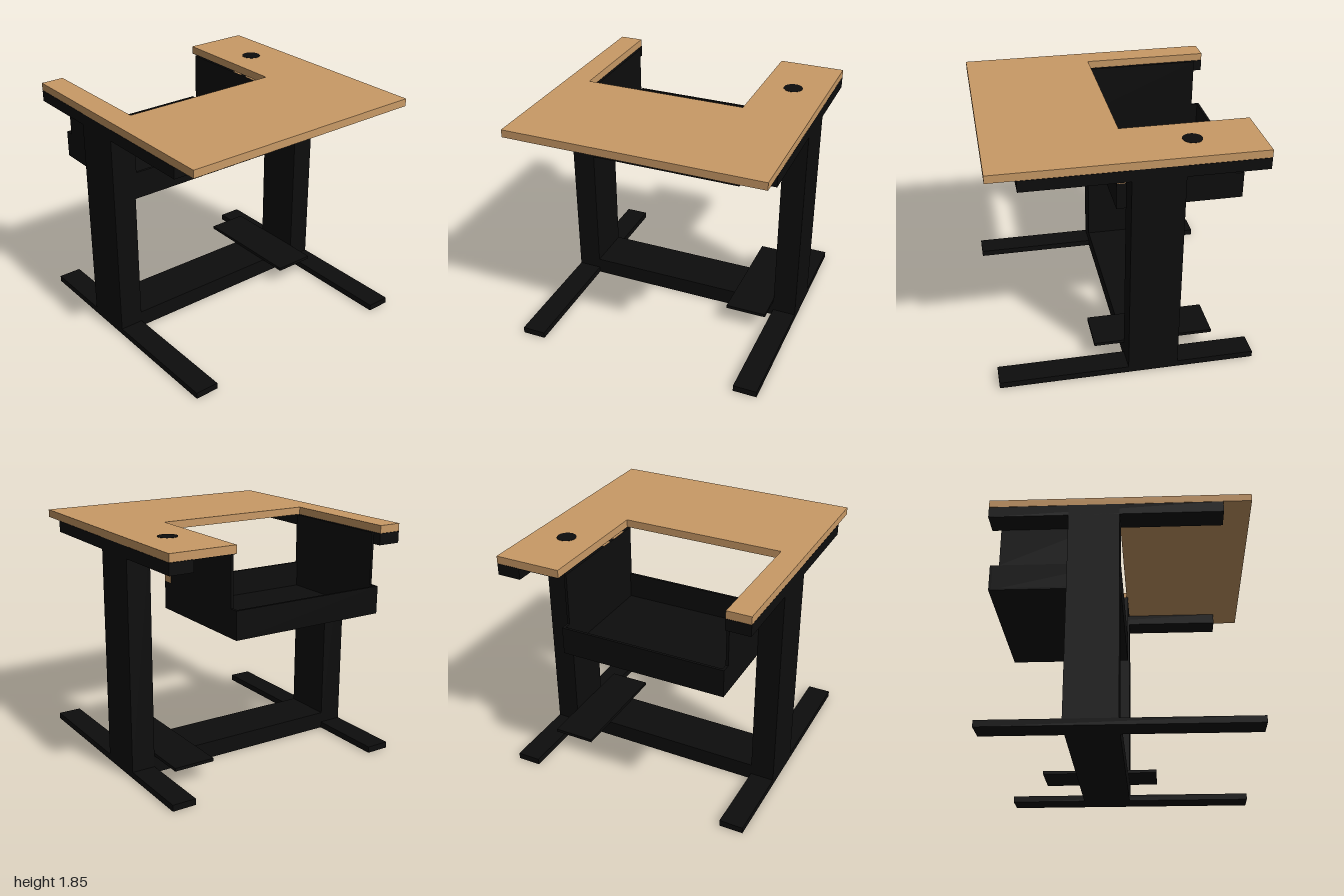
import * as THREE from 'three';

export function createModel() {
  const model = new THREE.Group();
  model.name = 'desk';
  const wood = new THREE.MeshStandardMaterial({ color: 0xc99a66 });
  wood.name = 'warm wood';
  const black = new THREE.MeshStandardMaterial({ color: 0x0d0d0d });
  black.name = 'black metal';

  const add = (name, geometry, material) => {
    const mesh = new THREE.Mesh(geometry, material);
    mesh.name = name;
    model.add(mesh);
    return mesh;
  };
  // Box given by its extents on each axis
  const box = (name, material, [x0, x1], [y0, y1], [z0, z1]) =>
    add(name, new THREE.BoxGeometry(x1 - x0, y1 - y0, z1 - z0), material)
      .position.set((x0 + x1) / 2, (y0 + y1) / 2, (z0 + z1) / 2);

  // U-shaped top, drawn in (x, -z), open at the back, with a round cable hole
  const outline = [[-1, -1], [1, -1], [1, 1], [0.476, 1], [0.476, 0.01], [-0.815, 0.01], [-0.815, 1], [-1, 1]];
  const shape = new THREE.Shape(outline.map(([x, y]) => new THREE.Vector2(x, y)));
  const hole = new THREE.Path();
  hole.absarc(0.725, 0.495, 0.075, 0, Math.PI * 2, true);
  shape.holes.push(hole);
  const top = new THREE.ExtrudeGeometry(shape, { depth: 0.06, bevelEnabled: false, curveSegments: 24 });
  top.rotateX(-Math.PI / 2).translate(0, 1.79, 0);
  add('tableTop', top, wood);
  add('cableGrommet', new THREE.CylinderGeometry(0.075, 0.075, 0.068, 32), black)
    .position.set(0.725, 1.818, -0.495);
  box('armUnderPlate', black, [0.476, 0.82], [1.786, 1.79], [-1, 0]);

  // Legs: foot, column and top rail on each side
  for (const side of [-1, 1]) {
    const span = side > 0 ? [0.812, 1] : [-1, -0.812];
    const label = side > 0 ? 'left' : 'right';
    box(label + 'Foot', black, span, [0, 0.05], [-1, 1]);
    box(label + 'Column', black, span, [0.05, 1.79], [-0.39, 0]);
    box(label + 'Rail', black, span, [1.7, 1.788], [-1, 0.785]);
  }
  box('crossBeam', black, [-0.812, 0.812], [0, 0.135], [-0.39, 0]);
  box('footPlate', black, [0.48, 0.812], [0.14, 0.165], [-0.71, 0.235]);

  // Hanging open tray with tall side panels
  const tray = [-0.815, 0.475];
  box('trayFloor', black, tray, [1.17, 1.185], [-1, 0]);
  box('trayFrontWall', black, tray, [1.17, 1.385], [-0.02, 0]);
  box('trayBackWall', black, tray, [1.17, 1.385], [-1, -0.98]);
  for (const [label, x] of [['right', -0.815], ['left', 0.455]]) {
    box(label + 'TraySide', black, [x, x + 0.02], [1.17, 1.385], [-0.98, -0.02]);
    box(label + 'HangerPanel', black, [x, x + 0.02], [1.385, 1.788], [-0.93, 0]);
  }
  // Wood inlays on the left hanger panel
  box('panelFaceInlay', wood, [0.474, 0.477], [1.39, 1.785], [-0.09, -0.002]);
  for (const z of [[-0.25, -0.1], [-0.4, -0.31]]) {
    box('panelEdgeInlay', wood, [0.456, 0.475], [1.786, 1.79], z);
  }
  return model;
}
